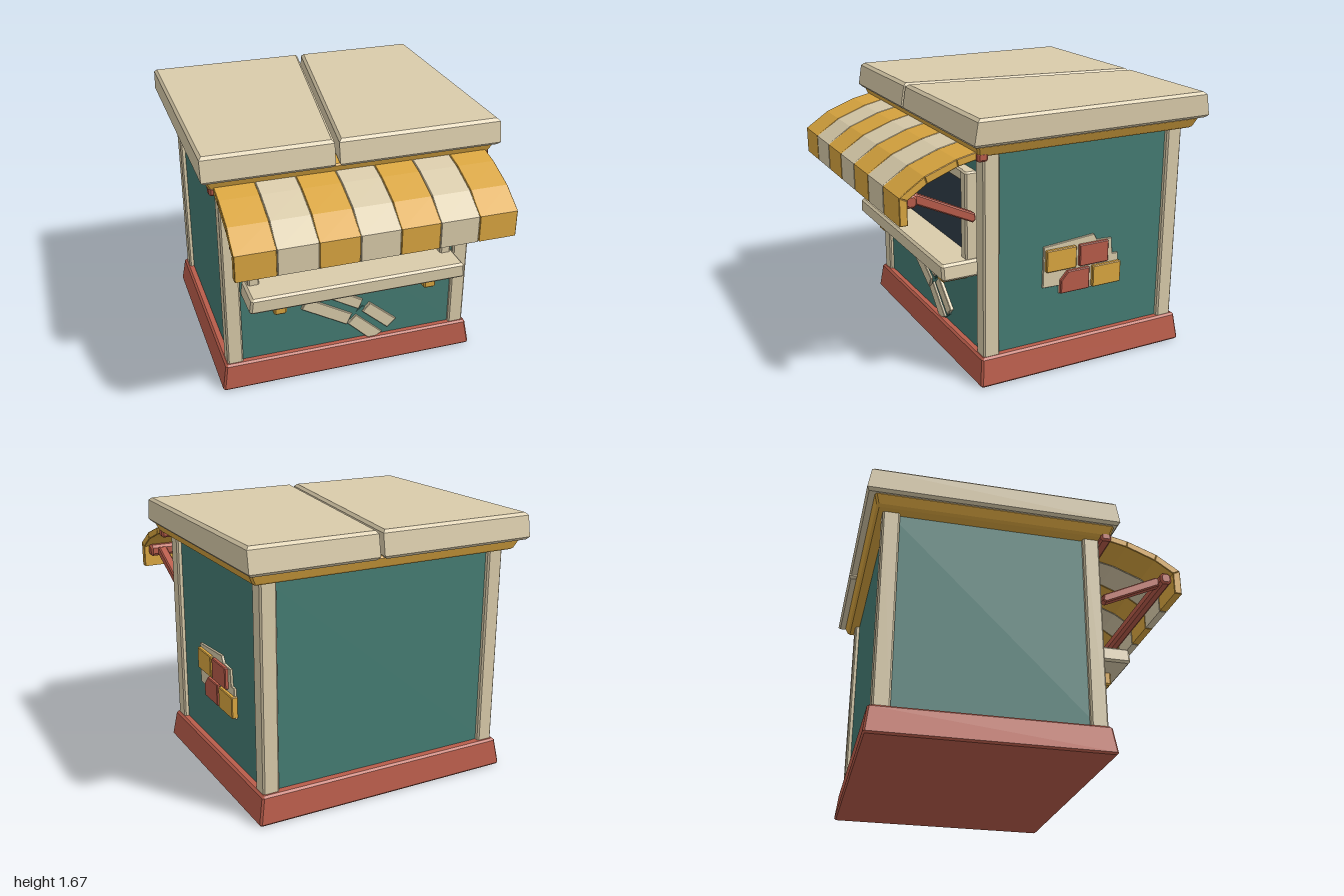
import * as THREE from 'three';

const mat = (name, color) => {
  const m = new THREE.MeshStandardMaterial({ color });
  m.name = name;
  return m;
};

export function createModel() {
  const group = new THREE.Group();
  group.name = 'marketStall';
  const cream = mat('cream', 0xd9cbaa);
  const yellow = mat('yellow', 0xdaa640);
  const teal = mat('teal', 0x457c73);
  const red = mat('red', 0xb85c4a);
  const navy = mat('navy', 0x2f3c48);
  const CZ = -0.205; // centre of the hut in z

  const add = (name, geo, material) => {
    const mesh = new THREE.Mesh(geo, material);
    mesh.name = name;
    group.add(mesh);
    return mesh;
  };

  // Chamfered prism along an axis. Points: y -> (x,z), x -> (z,y), z -> (x,y)
  function prism(axis, pts, from, to, b = 0.008) {
    const flat = pts.map(([u, v]) =>
      axis === 'y' ? new THREE.Vector2(u, -v) : axis === 'x' ? new THREE.Vector2(-u, v) : new THREE.Vector2(u, v));
    const geo = new THREE.ExtrudeGeometry(new THREE.Shape(flat), {
      depth: to - from - 2 * b, bevelEnabled: b > 0, bevelThickness: b, bevelSize: b, bevelOffset: -b, bevelSegments: 1,
    });
    geo.translate(0, 0, from + b);
    if (axis === 'y') geo.rotateX(-Math.PI / 2);
    if (axis === 'x') geo.rotateY(Math.PI / 2);
    return geo;
  }

  // Rectangle with cut corners
  const rect = (u0, u1, v0, v1, c = 0.01) => [
    [u0 + c, v0], [u1 - c, v0], [u1, v0 + c], [u1, v1 - c],
    [u1 - c, v1], [u0 + c, v1], [u0, v1 - c], [u0, v0 + c],
  ];
  const block = (x0, x1, y0, y1, z0, z1, b = 0.01) => prism('y', rect(x0, x1, z0, z1, b), y0, y1, b);

  // Scale x and z about a centre, growing from 1 at y0 to sx, sz at y1
  function taper(geo, y0, y1, sx, sz, cz = CZ) {
    const p = geo.attributes.position;
    for (let i = 0; i < p.count; i++) {
      const t = (p.getY(i) - y0) / (y1 - y0);
      p.setX(i, p.getX(i) * (1 + (sx - 1) * t));
      p.setZ(i, cz + (p.getZ(i) - cz) * (1 + (sz - 1) * t));
    }
    geo.computeVertexNormals();
    return geo;
  }

  // Base and walls
  add('base', taper(block(-0.86, 0.86, 0, 0.18, -0.93, 0.52, 0.012), 0, 0.18, 0.965, 0.97), red);
  add('walls', block(-0.785, 0.785, 0.16, 1.46, -0.855, 0.455, 0.002), teal);

  // Corner posts
  for (const s of [-1, 1]) {
    for (const [z0, z1] of [[0.375, 0.48], [-0.885, -0.78]]) {
      const x = [s * 0.712, s * 0.815].sort((a, b) => a - b);
      add('cornerPost', block(x[0], x[1], 0.16, 1.46, z0, z1), cream);
    }
  }

  // Roof trim and the two slabs split by a diagonal gap
  add('roofTrim', taper(block(-0.865, 0.865, 1.44, 1.515, -0.925, 0.535, 0.012), 1.44, 1.515, 1.045, 1.035), yellow);
  const slabs = [
    [[-0.925, -1], [0.1, -1], [-0.132, 0.59], [-0.925, 0.59]],
    [[0.128, -1], [0.925, -1], [0.925, 0.59], [-0.105, 0.59]],
  ];
  for (const pts of slabs) {
    add('roofSlab', taper(prism('y', pts, 1.508, 1.67, 0.017), 1.508, 1.67, 1, 0.965), cream);
  }

  // Serving window
  add('windowPane', block(-0.61, 0.61, 0.75, 1.25, 0.44, 0.463, 0.001), navy);
  for (const s of [-1, 1]) {
    const x = s * 0.635;
    add('windowJamb', block(x - 0.036, x + 0.036, 0.74, 1.3, 0.44, 0.525), cream);
  }
  add('windowLintel', block(-0.67, 0.67, 1.23, 1.3, 0.44, 0.52), cream);

  // Counter and its brackets
  add('counter', taper(block(-0.705, 0.705, 0.662, 0.765, 0.44, 0.69, 0.014), 0.662, 0.765, 0.98, 1, 0.56), cream);
  for (const x of [-0.495, 0.495]) {
    add('counterBracket', block(x - 0.041, x + 0.041, 0.58, 0.67, 0.44, 0.62), yellow);
  }

  // Awning: four bent segments for each of seven stripes, listed as (z,y) quads
  const outer = [[0.5, 1.478], [0.66, 1.443], [0.85, 1.372], [1.0, 1.272], [1.0, 1.108]];
  const inner = [[0.49, 1.435], [0.65, 1.4], [0.835, 1.328], [0.952, 1.25], [0.952, 1.108]];
  const w = 1.7 / 7;
  for (let i = 0; i < 7; i++) {
    const x0 = -0.85 + i * w;
    for (let j = 0; j < 4; j++) {
      const quad = [inner[j], inner[j + 1], outer[j + 1], outer[j]];
      add('awningStripe', prism('x', quad, x0 + 0.001, x0 + w - 0.001, 0.004), i % 2 ? cream : yellow);
    }
  }

  // Awning rails and support arms
  add('awningRearRail', prism('x', rect(0.475, 0.543, 1.412, 1.468, 0.012), -0.875, 0.875, 0.012), red);
  add('awningFrontRail', prism('x', rect(0.88, 0.952, 1.19, 1.266, 0.018), -0.82, 0.82, 0.012), red);
  const arm = [[0.525, 1.03], [0.89, 1.2], [0.89, 1.25], [0.865, 1.253], [0.51, 1.083], [0.505, 1.045]];
  for (const s of [-1, 1]) add('awningArm', prism('x', arm, s * 0.743 - 0.029, s * 0.743 + 0.029), red);

  // Loose planks on the front wall, over a teal backing
  const backings = [
    [[-0.24, 0.615], [-0.29, 0.54], [0.03, 0.35], [0.08, 0.43]],
    [[0.1, 0.425], [0.0, 0.35], [0.2, 0.17], [0.295, 0.24]],
  ];
  for (const pts of backings) add('plankBacking', prism('z', pts, 0.45, 0.462, 0.001), teal);
  const planks = [
    [[-0.198, 0.65], [-0.235, 0.59], [0.065, 0.415], [0.095, 0.48]],
    [[-0.278, 0.562], [-0.32, 0.488], [-0.015, 0.31], [0.022, 0.385]],
    [[0.145, 0.445], [0.092, 0.388], [0.27, 0.228], [0.33, 0.285]],
    [[0.05, 0.372], [-0.008, 0.315], [0.155, 0.155], [0.235, 0.2]],
  ];
  for (const pts of planks) add('frontPlank', prism('z', pts, 0.45, 0.476, 0.004), cream);

  // Exposed bricks on the left wall, over a broken plaster patch
  const patch = [
    [0.07, 0.805], [-0.28, 0.832], [-0.305, 0.79], [-0.41, 0.785], [-0.418, 0.68],
    [-0.46, 0.68], [-0.47, 0.485], [-0.04, 0.485], [-0.04, 0.538], [0.075, 0.542],
  ];
  add('plasterPatch', prism('x', patch, 0.775, 0.8, 0.002), cream);
  const bricks = [
    [yellow, rect(-0.147, 0.062, 0.645, 0.785, 0.005)],
    [red, rect(-0.376, -0.17, 0.645, 0.785, 0.005)],
    [red, [[-0.04, 0.49], [-0.04, 0.575], [-0.09, 0.63], [-0.243, 0.63], [-0.243, 0.49]]],
    [yellow, rect(-0.472, -0.267, 0.49, 0.63, 0.005)],
  ];
  for (const [m, pts] of bricks) add('wallBrick', prism('x', pts, 0.78, 0.822, 0.005), m);

  return group;
}
